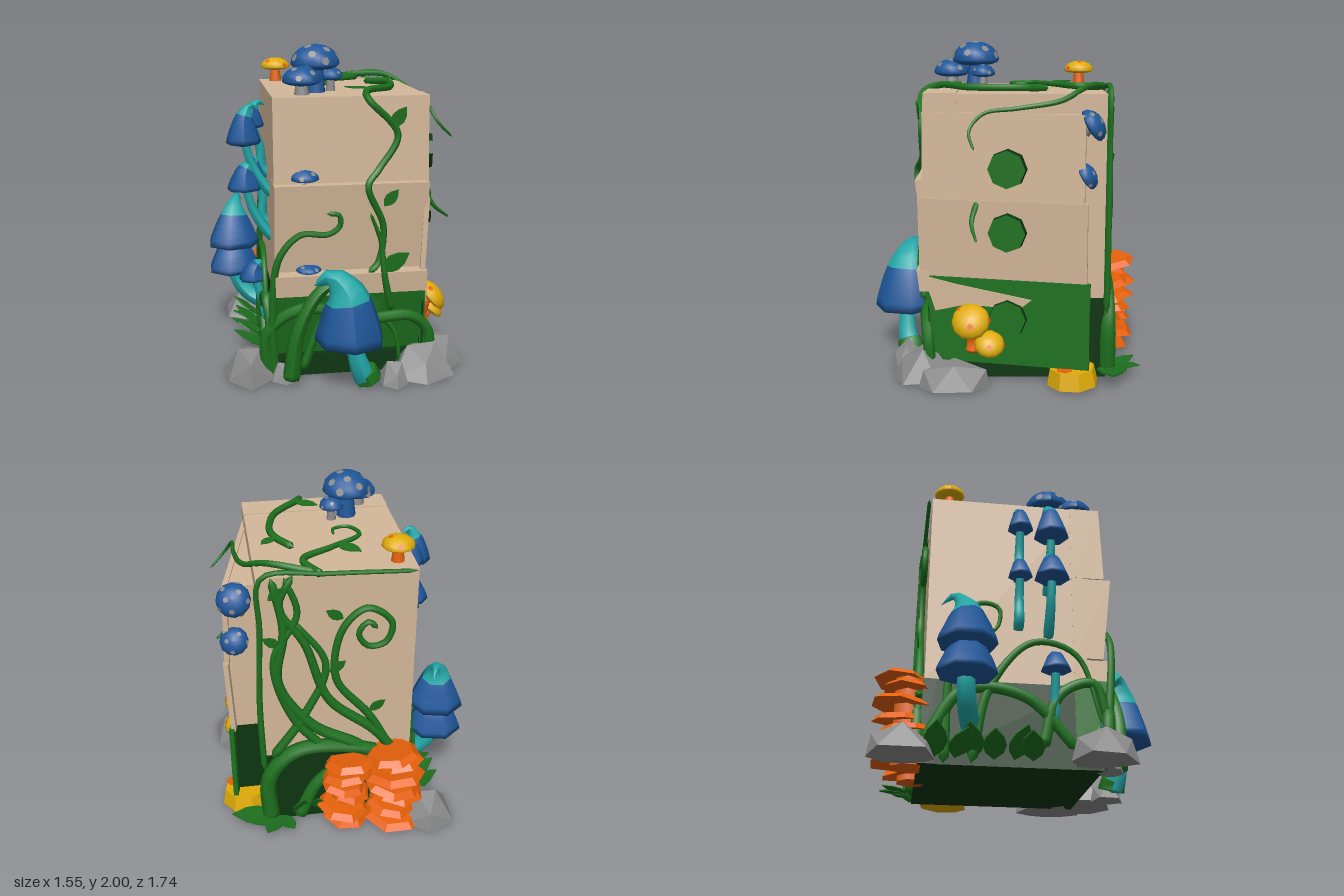
import * as THREE from 'three';

const mat = (name, color) => Object.assign(new THREE.MeshStandardMaterial({ color }), { name });
const tan = mat('tan', 0xd3b799), green = mat('vine green', 0x1e711f), darkGreen = mat('dark moss', 0x0c3510);
const blue = mat('cap blue', 0x1e5799), cyan = mat('horn cyan', 0x23a8a8), grey = mat('stone grey', 0x8b8b8b);
const yellow = mat('yellow', 0xe0ac08), orange = mat('orange', 0xea620a);
const V = p => new THREE.Vector3(...p);

export function createModel() {
  const root = new THREE.Group();
  root.name = 'overgrownCabinet';

  function add(name, geo, m, pos = [0, 0, 0], rot = [0, 0, 0], parent = root) {
    const mesh = new THREE.Mesh(geo, m);
    mesh.name = name;
    mesh.position.set(...pos);
    mesh.rotation.set(...rot, 'YXZ');
    parent.add(mesh);
    return mesh;
  }
  const flat = g => {
    const f = g.index ? g.toNonIndexed() : g;
    f.computeVertexNormals();
    return f;
  };
  const plate = (pts, depth) => new THREE.ExtrudeGeometry(
    new THREE.Shape(pts.map(p => new THREE.Vector2(...p))), { depth, bevelEnabled: false });
  // box whose top and bottom rectangles [x0, x1, z0, z1] may differ
  function block(name, m, y0, b, y1, t) {
    const g = new THREE.BoxGeometry(1, 1, 1), p = g.attributes.position;
    for (let i = 0; i < p.count; i++) {
      const up = p.getY(i) > 0, r = up ? t : b;
      p.setXYZ(i, r[p.getX(i) > 0 ? 1 : 0], up ? y1 : y0, r[p.getZ(i) > 0 ? 3 : 2]);
    }
    g.computeVertexNormals();
    return add(name, g, m);
  }
  // tube whose radius follows rad(t)
  function sweep(pts, rad, sides, n) {
    const curve = new THREE.CatmullRomCurve3(pts.map(V));
    const g = new THREE.TubeGeometry(curve, n, 1, sides), p = g.attributes.position, v = new THREE.Vector3();
    for (let i = 0; i < p.count; i++) {
      const t = Math.floor(i / (sides + 1)) / n, c = curve.getPointAt(t);
      v.fromBufferAttribute(p, i).sub(c).multiplyScalar(rad(t)).add(c);
      p.setXYZ(i, v.x, v.y, v.z);
    }
    g.computeVertexNormals();
    return g;
  }
  const vine = (pts, r, m = green, name = 'vine', end = 0.35) =>
    add(name, sweep(pts, t => t === 1 || t === 0 ? 0.001 : r * (1 - (1 - end) * t), 7, pts.length * 7), m);

  // cabinet body and drawer fronts
  const box = [-0.41, 0.5, -0.57, 0.38];
  block('cabinetBody', tan, 0.5, box, 1.715, box);
  block('mossyBase', darkGreen, 0, box, 0.5, box);
  const front = (name, m, y0, z0, y1, z1) =>
    block(name, m, y0, [-0.412, 0.502, 0.3, z0], y1, [-0.412, 0.502, 0.3, z1]);
  front('topDrawer', tan, 1.22, 0.505, 1.72, 0.49);
  front('middleDrawer', tan, 0.68, 0.48, 1.215, 0.545);
  front('lowerDrawerEdge', tan, 0.54, 0.53, 0.67, 0.545);
  front('mossyDrawer', green, 0.13, 0.4, 0.54, 0.5);
  front('mossyPlinth', darkGreen, 0, 0.45, 0.13, 0.45);
  block('backMoss', darkGreen, 0, [-0.42, 0.5, -0.59, -0.5], 0.5, [-0.415, 0.5, -0.575, -0.5]);
  // wedge filling the space behind the open panel
  const wedge = [[0.49, -0.48], [0.5, -0.48], [0.665, 0.41], [0.49, 0.41]];
  add('panelWedge', plate(wedge, 0.97), tan, [0, 0.63, 0], [-Math.PI / 2, 0, 0]);
  add('mossyWedge', plate(wedge, 0.5), darkGreen, [0, 0.13, 0], [-Math.PI / 2, 0, 0]);

  // side panel hinged open at the front edge, with round knobs
  const panel = new THREE.Group();
  panel.name = 'openSidePanel';
  panel.position.set(0.5, 0, 0.5);
  panel.rotation.y = -0.197;
  root.add(panel);
  const slab = (name, m, y0, y1, z0, z1, x, tilt) =>
    add(name, new THREE.BoxGeometry(0.03, y1 - y0, z1 - z0), m, [x, (y0 + y1) / 2, (z0 + z1) / 2], [0, 0, tilt], panel);
  slab('panelTop', tan, 1.1, 1.61, -0.95, 0, -0.012, 0.03);
  slab('panelMiddle', tan, 0.62, 1.11, -0.97, 0.03, -0.01, -0.04);
  slab('panelMoss', green, 0.12, 0.64, -0.99, -0.03, -0.01, 0);
  const tear = plate([[0, 0.64], [0.2, 0.6], [0.65, 0.53], [0.58, 0.47], [0.26, 0.48], [0.07, 0.43]], 0.009);
  add('tornEdge', tear, tan, [0.005, 0, 0], [0, Math.PI / 2, 0], panel);
  for (const y of [1.3, 0.93, 0.41])
    add('knob', flat(new THREE.CylinderGeometry(0.11, 0.115, y > 0.5 ? 0.07 : 0.03, 8)), [darkGreen, green, darkGreen],
      [0.02, y, -0.51], [0, 0, -Math.PI / 2], panel);
  add('fallenKnob', flat(new THREE.CylinderGeometry(0.135, 0.155, 0.1, 8)), yellow, [0.615, 0.065, -0.38], [0.04, 0.2, 0]);
  add('fallenKnobPatch', new THREE.CircleGeometry(0.05, 6), orange, [0.69, 0.121, -0.33], [-Math.PI / 2 + 0.04, 0, 0]);

  // vines over the top and down the front
  vine([[0.14, 1.73, -0.6], [0.22, 1.74, -0.42], [0.03, 1.74, -0.28], [-0.15, 1.74, -0.14], [-0.1, 1.74, -0.02],
    [-0.01, 1.74, -0.04], [0, 1.74, -0.12]], 0.024);
  vine([[0.25, 1.73, -0.24], [0.36, 1.74, -0.06], [0.32, 1.74, 0.22], [0.14, 1.74, 0.43], [0.14, 1.7, 0.52],
    [0.31, 1.5, 0.52], [0.2, 1.3, 0.53], [0.13, 1.21, 0.57], [0.23, 0.95, 0.53], [0.2, 0.72, 0.52], [0.14, 0.68, 0.55]], 0.022, green, 'frontVine', 0.9);
  vine([[0.29, 0.42, 0.52], [0.24, 0.65, 0.55], [0.22, 0.85, 0.53], [0.15, 1.04, 0.55]], 0.026);
  vine([[-0.42, 0, 0.46], [-0.43, 0.4, 0.5], [-0.39, 0.78, 0.53], [-0.26, 0.92, 0.53], [-0.1, 0.92, 0.54],
    [-0.03, 0.97, 0.54], [-0.04, 1.04, 0.55], [-0.11, 1.05, 0.56]], 0.03, green, 'curlingVine', 0.5);
  vine([[-0.33, 0.01, 0.56], [-0.28, 0.35, 0.58], [-0.15, 0.58, 0.57], [0, 0.66, 0.56]], 0.055, green, 'thickVine', 0.6);
  vine([[-0.46, 0, 0.46], [-0.46, 0.3, 0.48], [-0.25, 0.45, 0.5], [0.15, 0.37, 0.5], [0.42, 0.37, 0.5],
    [0.53, 0.26, 0.48], [0.53, 0, 0.46]], 0.038, green, 'baseVine', 0.9);
  vine([[-0.25, 0.05, 0.48], [-0.1, 0.4, 0.5], [0.1, 0.44, 0.5], [0.3, 0.3, 0.5], [0.36, 0, 0.5]], 0.03);
  // vines on the panel side
  vine([[0.17, 1.74, -0.58], [0.43, 1.75, -0.45], [0.55, 1.68, -0.3], [0.59, 1.64, -0.05], [0.59, 1.61, 0.14],
    [0.63, 1.52, 0.22], [0.73, 1.42, 0.19]], 0.022);
  vine([[0.56, 1.1, 0.18], [0.62, 0.99, 0.21], [0.73, 0.9, 0.18]], 0.02);
  // vines on the back, left side and rear edges
  const backVine = (pts, r, z = -0.595) => vine(pts.map(([x, y]) => [x, y, z]), r, green, 'backVine', 0.6);
  backVine([[-0.25, 0.2], [-0.12, 0.5], [0.2, 0.72], [0.4, 1.05], [0.36, 1.4], [0.42, 1.73]], 0.04);
  backVine([[-0.4, 0.3], [-0.2, 0.62], [0.1, 0.9], [0.24, 1.3], [0.38, 1.55], [0.3, 1.74]], 0.035);
  backVine([[0.1, 0.5], [0.32, 0.8], [0.42, 1.2], [0.28, 1.5], [0.35, 1.73]], 0.03);
  backVine([[0.45, 0.5], [0.25, 0.8], [0.12, 1.15], [0.3, 1.45]], 0.03);
  backVine([[-0.3, 0.45], [-0.15, 0.75], [0.06, 1.05], [0.02, 1.38], [-0.12, 1.5], [-0.26, 1.4], [-0.23, 1.27],
    [-0.13, 1.25], [-0.07, 1.34], [-0.13, 1.41], [-0.18, 1.36]], 0.028);
  backVine([[0.47, 0], [0.47, 0.36], [0.3, 0.54], [0, 0.54], [-0.3, 0.42], [-0.46, 0.05]], 0.055, -0.6);
  backVine([[0.3, 0], [0.15, 0.3], [-0.15, 0.45], [-0.42, 0.4]], 0.045);
  backVine([[0.5, 0.4], [0.51, 0.9], [0.49, 1.4], [0.47, 1.73], [0.1, 1.73], [-0.4, 1.71]], 0.02, -0.59);
  vine([[-0.44, 0, -0.45], [-0.44, 0.6, -0.42], [-0.44, 0.98, -0.28], [-0.44, 0.96, -0.15], [-0.44, 0.82, -0.17],
    [-0.44, 0.83, -0.27]], 0.03, green, 'leftVine');
  vine([[-0.45, 0, -0.3], [-0.46, 0.45, -0.2], [-0.46, 0.74, 0.05], [-0.46, 0.68, 0.3], [-0.46, 0.25, 0.45]], 0.032, green, 'leftVine');
  vine([[-0.45, 0.1, 0.1], [-0.46, 0.42, 0.2], [-0.46, 0.5, 0.4], [-0.44, 0.3, 0.48]], 0.035, green, 'leftVine', 0.8);
  vine([[-0.43, 0.1, -0.57], [-0.46, 0.42, -0.35], [-0.46, 0.4, 0], [-0.45, 0.1, 0.3]], 0.038, green, 'leftVine', 0.8);

  // leaves, base at pos and growing along local y
  const shape = new THREE.Shape();
  shape.quadraticCurveTo(0.55, 0.4, 0, 1);
  shape.quadraticCurveTo(-0.55, 0.4, 0, 0);
  const leafGeo = new THREE.ExtrudeGeometry(shape, { depth: 0.04, bevelEnabled: false, curveSegments: 4 });
  const leaf = (pos, rot, s) => add('leaf', leafGeo, green, pos, rot).scale.setScalar(s);
  const flatX = -Math.PI / 2;
  [[[0.27, 1.54, 0.53], -0.6, 0.15], [[0.23, 1.08, 0.54], -0.7, 0.13], [[0.22, 0.68, 0.53], -1, 0.2],
    [[0.2, 0.42, 0.53], 0.4, 0.13]].forEach(([p, a, s]) => leaf(p, [0.1, 0, a], s));
  [[[0, 1.75, -0.27], 0.75, 0.17], [[0.35, 1.75, -0.13], -0.8, 0.12], [[0.17, 1.75, 0.38], 1, 0.16]]
    .forEach(([p, a, s]) => leaf(p, [flatX, 0, a], s));
  [[0.1, 1.1], [0.38, 1.3], [-0.14, 0.8], [0.02, 1.45], [0.44, 1.6]].forEach(([x, y], i) => leaf([x, y, -0.61], [-0.1, 0, i % 2 ? -1 : 0.9], 0.12));
  for (const [heading, s] of [[1.55, 0.3], [2, 0.2], [2.65, 0.2], [3.6, 0.18]])
    leaf([0.42, 0.05, -0.62], [1.4, heading, 0], s);
  for (let i = 0; i < 6; i++) leaf([-0.43, 0.04, -0.5 + i * 0.11], [0.9 + 0.2 * (i % 2), -1.57 + 0.3 * Math.sin(i * 2), 0], 0.24);
  for (let i = 0; i < 6; i++) leaf([-0.4 + i * 0.14, 0.05, -0.59], [0.5, Math.PI + 0.4 * Math.sin(i * 3), 0], 0.18);

  // horned mushrooms: pointed caps with a curled cyan tip; a larger slim makes a narrower horn
  function hornCap([x, y, z], R, h, dx, dz, split = 7, slim = 1) {
    const pts = [[0, 0, 0], [0, 0.4, 0], [0.1, 0.73, 0.1], [0.5, 0.93, 0.5], [1, 0.8, 1]]
      .map(([a, b, c]) => [x + a * dx, y + b * h, z + c * dz]);
    const radii = [0, 1, 0.96, 0.89, 0.82, 0.74, 0.65, 0.54, 0.42, 0.32, 0.23, 0.14, 0];
    const g = sweep(pts, t => R * radii[Math.round(t * 12)] ** slim + 0.0005, 7, 12);
    g.clearGroups();
    g.addGroup(0, split * 42, 0);
    g.addGroup(split * 42, (12 - split) * 42, 1);
    add('hornedCap', g, [blue, cyan]);
  }
  hornCap([0.01, 0.25, 0.66], 0.21, 0.47, -0.2, -0.07, 6);
  vine([[0.12, 0.02, 0.63], [0.07, 0.14, 0.66], [0.02, 0.33, 0.66]], 0.072, cyan, 'hornedStem', 0.6);
  vine([[0.13, 0.03, 0.63], [0.12, 0.06, 0.635], [0.1, 0.1, 0.645]], 0.085, green, 'stemMoss', 0.9);
  hornCap([-0.62, 0.42, -0.35], 0.175, 0.3, 0.04, -0.08, 9);
  hornCap([-0.62, 0.59, -0.35], 0.175, 0.38, 0.06, -0.15, 6, 1.5);
  vine([[-0.42, 0.22, -0.3], [-0.52, 0.27, -0.33], [-0.6, 0.38, -0.35], [-0.62, 0.6, -0.35]], 0.06, cyan, 'hornedStem', 0.8);
  for (const [x, y, z, R, h] of [[-0.56, 1.38, 0.15, 0.108, 0.27], [-0.56, 1.1, 0.15, 0.108, 0.19], [-0.5, 1.46, -0.03, 0.08, 0.18],
    [-0.49, 1.14, -0.03, 0.075, 0.14], [-0.52, 0.53, 0.17, 0.09, 0.12]]) {
    hornCap([x, y, z], R, h, 0.09, -0.04, 7, 1.25);
    vine([[-0.39, y - 0.3, z], [-0.44, y - 0.24, z], [x + 0.05, y - 0.12, z], [x, y + 0.05, z]], 0.034, cyan, 'hornedStem', 0.7);
  }

  // domed spotted mushrooms
  const up = new THREE.Vector3(0, 0, 1);
  function dome(pos, r, h, rot, cap, spot, stemLen, stem, n = 8) {
    const g = new THREE.Group();
    g.name = 'domedMushroom';
    g.position.set(...pos);
    g.rotation.set(...rot);
    root.add(g);
    const geo = new THREE.SphereGeometry(1, 12, 8), p = geo.attributes.position;
    for (let i = 0; i < p.count; i++) p.setXYZ(i, p.getX(i) * r, p.getY(i) * (p.getY(i) > 0 ? h : h * 0.35), p.getZ(i) * r);
    geo.computeVertexNormals();
    add('domedCap', geo, cap, [0, 0, 0], [0, 0, 0], g);
    add('domedStem', new THREE.CylinderGeometry(r * 0.28, r * 0.42, stemLen, 8), stem, [0, -stemLen / 2, 0], [0, 0, 0], g);
    for (let i = 0; i < n; i++) {
      const c = 1 - 0.9 * (i + 0.5) / n, s = Math.sqrt(1 - c * c), a = i * 2.4;
      const q = [s * Math.cos(a) * r, c * h, s * Math.sin(a) * r];
      const d = add('spot', new THREE.CircleGeometry(r * 0.17, 6), spot, q, [0, 0, 0], g);
      d.quaternion.setFromUnitVectors(up, V([q[0] / r / r, q[1] / h / h, q[2] / r / r]).normalize());
    }
  }
  dome([-0.13, 1.885, 0.21], 0.148, 0.115, [0, 0, 0], blue, grey, 0.18, blue, 13);
  dome([-0.23, 1.8, 0.37], 0.115, 0.085, [0, 0, 0], blue, grey, 0.1, grey);
  dome([-0.03, 1.8, 0.16], 0.075, 0.06, [0, 0, 0], blue, grey, 0.1, grey, 6);
  dome([-0.31, 1.81, -0.46], 0.096, 0.06, [0, 0, 0], yellow, orange, 0.1, orange, 4);
  dome([0.62, 1.545, -0.47], 0.1, 0.07, [-1, 0, -0.15], blue, grey, 0.05, grey);
  dome([0.63, 1.26, -0.44], 0.085, 0.06, [-1, 0, -0.2], blue, grey, 0.05, grey, 6);
  dome([-0.23, 1.25, 0.46], 0.095, 0.06, [0.1, 0, 0], blue, grey, 0.04, blue);
  dome([-0.21, 0.69, 0.47], 0.08, 0.035, [0.1, 0, 0], blue, grey, 0.03, blue, 6);
  dome([0.61, 0.39, 0.22], 0.115, 0.075, [0.1, 0, -0.85], yellow, orange, 0.1, orange, 3);
  dome([0.64, 0.26, 0.11], 0.09, 0.06, [-0.1, 0, -0.7], yellow, orange, 0.1, orange, 3);
  vine([[0.58, 0.36, 0.22], [0.56, 0.25, 0.21], [0.58, 0.18, 0.22]], 0.035, orange, 'yellowMushroomStem', 1);

  // stacked shelf fungus on the back
  [[-0.3, -0.67, 0.195, 7], [0, -0.64, 0.165, 6]].forEach(([x, z, r, n], c) => {
    for (let i = 0; i < n; i++) {
      const s = r * (1 - 0.07 * ((i * 3 + c) % 4));
      add('shelfFungus', flat(new THREE.CylinderGeometry(s * 0.8, s, 0.035, 7)), orange,
        [x + 0.03 * Math.sin(i * 2.3), 0.06 + i * 0.078, z + 0.02 * Math.sin(i * 4)], [-0.15, i * 0.7, 0.1 * Math.sin(i * 1.7 + c)]);
    }
    add('shelfFungusCore', new THREE.CylinderGeometry(r * 0.5, r * 0.55, n * 0.075, 7), orange, [x, n * 0.0375, z + 0.03]);
  });

  // rocks: jittered icosahedra, wider below and cut off at the ground
  let seed = 7;
  const rnd = () => (seed = (seed * 16807) % 2147483647) / 2147483647;
  for (const [x, z, rx, h, rz] of [[-0.57, 0.42, 0.18, 0.21, 0.19], [0.48, 0.51, 0.21, 0.2, 0.2], [0.65, 0.32, 0.15, 0.16, 0.23],
    [0.29, 0.64, 0.1, 0.14, 0.11], [-0.5, -0.68, 0.17, 0.2, 0.21], [-0.36, 0.5, 0.1, 0.12, 0.08]]) {
    const g = new THREE.IcosahedronGeometry(1, 0), p = g.attributes.position, k = {};
    for (let i = 0; i < p.count; i++) {
      const id = [p.getX(i), p.getY(i), p.getZ(i)].map(v => Math.round(v * 50)).join();
      const f = k[id] ??= 0.85 + 0.3 * rnd(), y = p.getY(i), w = f * (1 - 0.25 * y);
      p.setXYZ(i, p.getX(i) * rx * w, Math.max(0, y * h * f + h * 0.08), p.getZ(i) * rz * w);
    }
    add('rock', flat(g), grey, [x, 0, z]);
  }
  return root;
}
